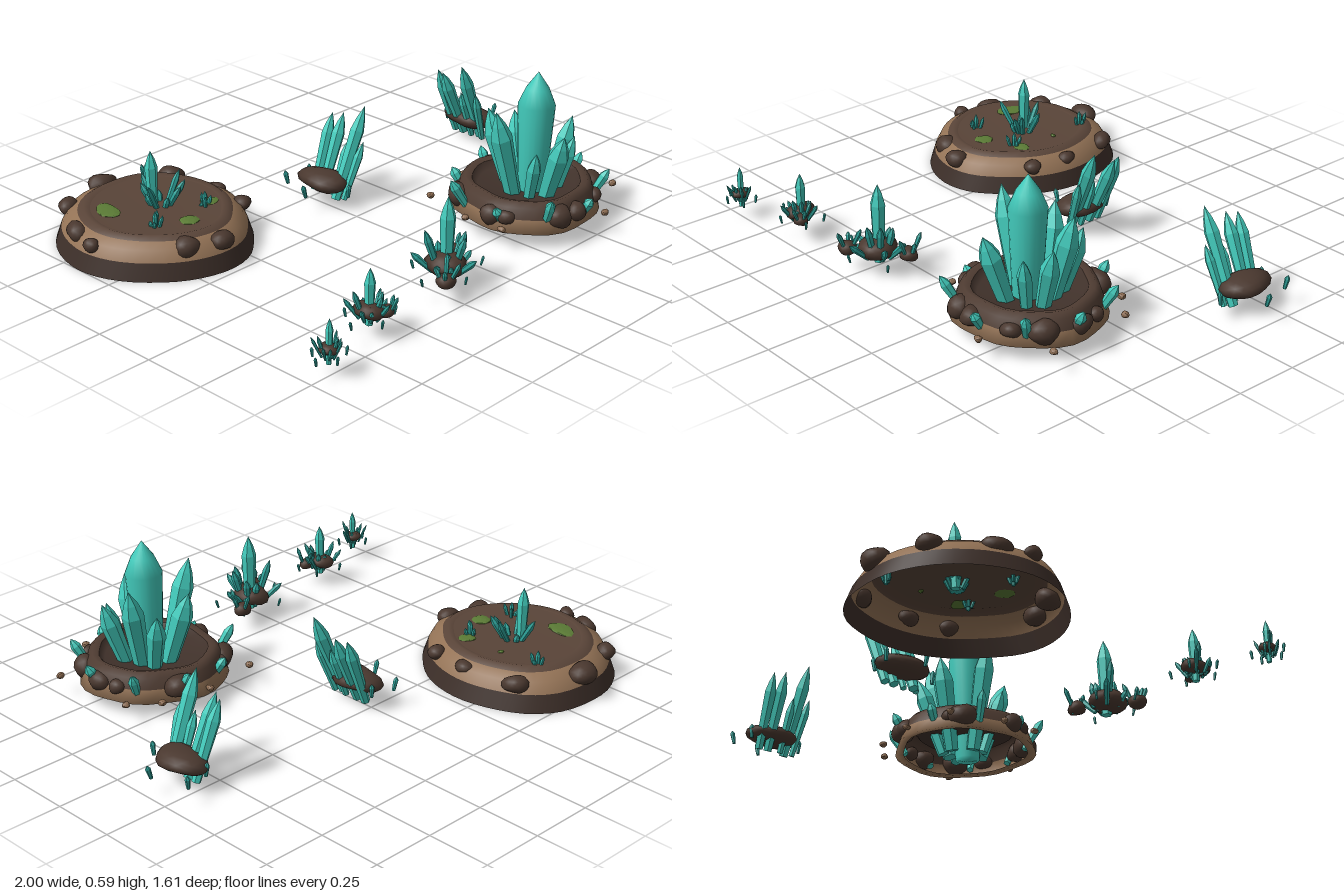
import * as THREE from 'three';

const mat = (color, opts = {}) => new THREE.MeshStandardMaterial({ color, ...opts });
const CRYSTAL = mat(0x42cabb, { flatShading: true });
const CRYSTAL_SMOOTH = mat(0x42cabb);
const SHARD = mat(0x2fa59c, { flatShading: true });
const ROCK = mat(0x4a382f);
const PEBBLE = mat(0x8a6a50, { flatShading: true });
const DARK = mat(0x3d2f29, { side: THREE.DoubleSide });
const TAN = mat(0x947356, { side: THREE.DoubleSide });
const RIM = mat(0x4f3c32, { side: THREE.DoubleSide });
const SOIL = mat(0x594438, { side: THREE.DoubleSide });
const FLOOR = mat(0x41322b, { side: THREE.DoubleSide });
const MOSS = mat(0x5a7a35, { flatShading: true });

const V = (x, y, z) => new THREE.Vector3(x, y, z);

function add(parent, name, geometry, material) {
  const mesh = new THREE.Mesh(geometry, material);
  mesh.name = name;
  parent.add(mesh);
  return mesh;
}

// Pointed prism from base to tip, widening towards its shoulder
function crystal(parent, base, tip, r, { sides = 6, shoulder = 0.74, material = CRYSTAL, name = 'crystal' } = {}) {
  const dir = tip.clone().sub(base);
  const h = dir.length();
  const profile = [[0, 0], [r * 0.68, 0], [r, h * shoulder], [r * 0.62, h * (shoulder + (1 - shoulder) * 0.5)], [0, h]];
  const m = add(parent, name, new THREE.LatheGeometry(profile.map(p => new THREE.Vector2(...p)), sides), material);
  m.position.copy(base);
  m.quaternion.setFromUnitVectors(V(0, 1, 0), dir.normalize());
}

// Lumpy stone
function rock(parent, x, y, z, sx, sy, sz, { seed = 1, turn = 0, material = ROCK, name = 'rock', detail = 2 } = {}) {
  const g = new THREE.IcosahedronGeometry(1, detail);
  const p = g.attributes.position;
  const v = V(0, 0, 0);
  for (let i = 0; i < p.count; i++) {
    v.fromBufferAttribute(p, i);
    const k = 1 + 0.09 * Math.sin(3.1 * v.x + seed) + 0.08 * Math.sin(3.7 * v.z + seed * 2.3) + 0.05 * Math.sin(4 * v.y + seed);
    p.setXYZ(i, v.x * k, v.y * k, v.z * k);
  }
  const m = add(parent, name, g, material);
  m.position.set(x, y, z);
  m.scale.set(sx, sy, sz);
  m.rotation.y = turn;
}

// Closed outline scaled through levels of [scale, height]
function loft(parent, name, outline, levels, material) {
  const n = outline.length, pos = [], index = [];
  for (const [s, y] of levels) for (const [x, z] of outline) pos.push(x * s, y, z * s);
  for (let k = 0; k < levels.length - 1; k++) {
    for (let i = 0; i < n; i++) {
      const a = k * n + i, b = k * n + (i + 1) % n;
      index.push(a, a + n, b, b, a + n, b + n);
    }
  }
  const g = new THREE.BufferGeometry();
  g.setAttribute('position', new THREE.Float32BufferAttribute(pos, 3));
  g.setIndex(index);
  g.computeVertexNormals();
  add(parent, name, g, material);
}

function smoothOutline(points, n) {
  const curve = new THREE.CatmullRomCurve3(points.map(([x, z]) => V(x, 0, z)), true);
  return curve.getPoints(n).slice(0, n).map(p => [p.x, p.z]);
}

// Ring of small shards leaning outwards
function shards(parent, x, y, z, count, inner, outer, h, r, seed) {
  for (let i = 0; i < count; i++) {
    const a = seed + i / count * Math.PI * 2 + 0.25 * Math.sin(i * 5 + seed);
    const k = 0.8 + 0.3 * Math.sin(i * 2.4 + seed);
    const c = Math.cos(a), s = Math.sin(a);
    crystal(parent, V(x + c * inner, y, z + s * inner), V(x + c * outer * k, y + h * k, z + s * outer * k), r, { material: SHARD, name: 'shard' });
  }
}

function group(parent, name, x, z) {
  const g = new THREE.Group();
  g.name = name;
  g.position.set(x, 0, z);
  parent.add(g);
  return g;
}

// Broad earth mound with moss and stones
function buildMound(root) {
  const g = group(root, 'earthMound', -0.64, -0.38);
  const outline = smoothOutline([[0.36, -0.07], [0.35, 0.05], [0.305, 0.16], [0.22, 0.26], [0.13, 0.33], [0.02, 0.355], [-0.1, 0.33],
    [-0.2, 0.27], [-0.3, 0.16], [-0.35, 0.05], [-0.36, -0.06], [-0.32, -0.2], [-0.23, -0.32], [-0.1, -0.395], [0.03, -0.41],
    [0.17, -0.385], [0.27, -0.31], [0.33, -0.2]], 48);
  loft(g, 'moundBase', outline, [[1, 0], [0.94, 0.065]], DARK);
  loft(g, 'moundSlope', outline, [[0.94, 0.065], [0.88, 0.105], [0.78, 0.125]], TAN);
  loft(g, 'moundLip', outline, [[0.78, 0.125], [0.72, 0.141], [0.66, 0.135]], SOIL);
  loft(g, 'moundTop', outline, [[0.66, 0.135], [0.35, 0.13], [0, 0.13]], SOIL);
  // [x, z, radius]
  [[0.03, -0.37, 0.048], [-0.18, -0.31, 0.037], [-0.29, -0.12, 0.04], [-0.325, 0, 0.028], [-0.1, 0.255, 0.043],
    [0.02, 0.31, 0.038], [0.285, 0.135, 0.031], [0.305, -0.025, 0.03], [0.27, -0.245, 0.038]].forEach(([x, z, r], i) =>
    rock(g, x, 0.1, z, r, r * 0.9, r * 1.2, { seed: i, turn: Math.PI - Math.atan2(z, x) }));
  [[-0.15, -0.12, 0.04, 0.065], [0.005, 0.155, 0.04, 0.032], [0.165, 0.09, 0.034, 0.034], [0.16, -0.08, 0.012, 0.01]].forEach(([x, z, a, b], i) =>
    rock(g, x, 0.133, z, a, 0.007, b, { seed: i * 2, turn: -0.3, material: MOSS, name: 'moss', detail: 1 }));
  crystal(g, V(0.01, 0.09, -0.05), V(0.01, 0.34, -0.055), 0.024);
  shards(g, 0.03, 0.1, -0.03, 9, 0.02, 0.095, 0.13, 0.013, 0.6);
  [[0.14, -0.24], [-0.11, 0.1], [0.13, 0.1]].forEach(([x, z], i) => {
    crystal(g, V(x, 0.1, z), V(x, 0.19, z), 0.01, { material: SHARD, name: 'shard' });
    shards(g, x, 0.11, z, 4, 0.01, 0.03, 0.065, 0.008, i);
  });
}

// Raised ring of earth holding the great crystal
function buildPlinth(root) {
  const g = group(root, 'crystalPlinth', 0.445, 0.455);
  const outline = Array.from({ length: 32 }, (_, i) => {
    const a = i / 32 * Math.PI * 2, r = 0.277 + 0.009 * Math.sin(3 * a + 1) + 0.005 * Math.sin(7 * a);
    return [Math.cos(a) * r, Math.sin(a) * r];
  });
  loft(g, 'plinthSkirt', outline, [[0.88, 0.06], [1, 0.055], [0.94, 0.105]], TAN);
  loft(g, 'plinthRim', outline, [[0.94, 0.105], [0.89, 0.145], [0.82, 0.165], [0.73, 0.157]], RIM);
  loft(g, 'plinthFloor', outline, [[0.73, 0.157], [0.66, 0.13], [0, 0.12]], FLOOR);

  crystal(g, V(0, 0.03, 0.02), V(0.015, 0.585, 0.025), 0.07, { sides: 20, shoulder: 0.77, material: CRYSTAL_SMOOTH, name: 'greatCrystal' });
  // base x, z, then tip x, y, z, then radius
  [[-0.06, 0, -0.175, 0.47, -0.015, 0.042], [0.06, -0.02, 0.155, 0.45, -0.06, 0.042], [0.08, 0.03, 0.185, 0.37, 0.06, 0.036],
    [0, -0.06, -0.05, 0.41, -0.155, 0.042], [-0.01, 0.08, -0.03, 0.385, 0.19, 0.042], [0.05, -0.06, 0.1, 0.36, -0.15, 0.036],
    [-0.06, 0.05, -0.1, 0.32, 0.12, 0.028], [0.06, 0.07, 0.11, 0.33, 0.13, 0.028]].forEach(([x, z, tx, ty, tz, r]) =>
    crystal(g, V(x, 0.05, z), V(tx, ty, tz), r, { name: 'sideCrystal' }));
  for (let i = 0; i < 12; i++) {
    const a = i / 12 * Math.PI * 2 + 0.2 * Math.sin(i * 3), r = 0.036 + 0.01 * Math.sin(i * 2.1);
    rock(g, Math.cos(a) * 0.255, 0.108, Math.sin(a) * 0.255, r, r, r * 1.2, { seed: i, turn: -a });
  }
  // Rim crystals and loose pebbles
  for (let i = 0; i < 9; i++) {
    const a = i / 9 * Math.PI * 2 + 0.08, c = Math.cos(a), s = Math.sin(a), k = 0.03 * Math.sin(i * 2.7);
    crystal(g, V(c * 0.24, 0.075, s * 0.24), V(c * (0.3 + k * 0.6), 0.175 + k, s * (0.3 + k * 0.6)), 0.02, { name: 'rimCrystal' });
  }
  [[-0.25, -0.26], [-0.305, -0.04], [-0.29, 0.12], [0.285, -0.18], [0.31, 0.17], [0.18, -0.26], [0.08, 0.305], [-0.02, -0.295]].forEach(([x, z], i) =>
    rock(g, x, 0.085, z, 0.015, 0.012, 0.015, { seed: i, material: PEBBLE, name: 'pebble', detail: 1 }));
}

// Stone with a row of long crystals leaning to one side
function buildLeaning(root, x, side) {
  const g = group(root, 'leaningCluster', x, -0.18);
  rock(g, 0.008 * side, 0.098, 0, 0.077, 0.04, 0.1, { seed: 2.5 });
  // base x, z, then tip x, y, z, then radius
  [[0.01, 0.06, 0.155, 0.373, 0.075, 0.028], [0.02, -0.02, 0.15, 0.32, -0.03, 0.026], [0.02, -0.06, 0.13, 0.315, -0.07, 0.025],
    [0.03, 0.085, 0.11, 0.25, 0.11, 0.018], [0.03, 0.03, 0.11, 0.24, 0.035, 0.018]].forEach(([bx, bz, tx, ty, tz, r]) =>
    crystal(g, V(bx * side, 0.03, bz), V(tx * side, ty, tz), r, { name: 'leaningCrystal' }));
  [[-0.065, -0.12], [0, 0.135], [-0.11, 0.02], [0.03, -0.1]].forEach(([sx, sz]) =>
    crystal(g, V(sx * side, 0.065, sz), V(sx * side * 1.15, 0.12, sz * 1.05), 0.01, { material: SHARD, name: 'shard' }));
}

// Small stone bristling with crystals
function buildCluster(root, x, z, r, top, bits) {
  const g = group(root, 'smallCluster', x, z);
  rock(g, 0, 0.1, 0, r, r * 0.62, r * 1.08, { seed: r * 40 });
  crystal(g, V(0, 0.045, 0), V(0.005, top, 0), r * 0.42, { name: 'mainCrystal' });
  shards(g, 0, 0.07, 0, 6, r * 0.4, r * 1.1, (top - 0.07) * 0.55, r * 0.22, 0.4);
  shards(g, 0, 0.07, 0, 7, r * 0.7, r * 1.75, 0.075, r * 0.18, 1.3);
  bits.forEach(([bx, bz, br], i) => {
    rock(g, bx, 0.09, bz, br, br * 0.8, br, { seed: i + 4 });
    shards(g, bx, 0.09, bz, 4, br * 0.5, br * 1.5, br * 2.2, br * 0.28, i);
  });
  for (let i = 0; i < 5; i++) {
    const a = i * 1.26 + 0.5, c = Math.cos(a) * r * 2, s = Math.sin(a) * r * 1.6;
    crystal(g, V(c, 0.065, s), V(c * 1.08, 0.1, s * 1.08), 0.006, { material: SHARD, name: 'looseShard' });
  }
}

export function createModel() {
  const root = new THREE.Group();
  root.name = 'crystalFormations';
  buildMound(root);
  buildPlinth(root);
  buildLeaning(root, 0, 1);
  buildLeaning(root, 0.87, -1);
  buildCluster(root, -0.205, 0.625, 0.07, 0.355, [[0.1, -0.06, 0.034], [-0.09, 0.075, 0.034]]);
  buildCluster(root, -0.64, 0.665, 0.048, 0.255, [[0.05, 0.035, 0.028]]);
  buildCluster(root, -0.92, 0.75, 0.032, 0.21, []);
  return root;
}
